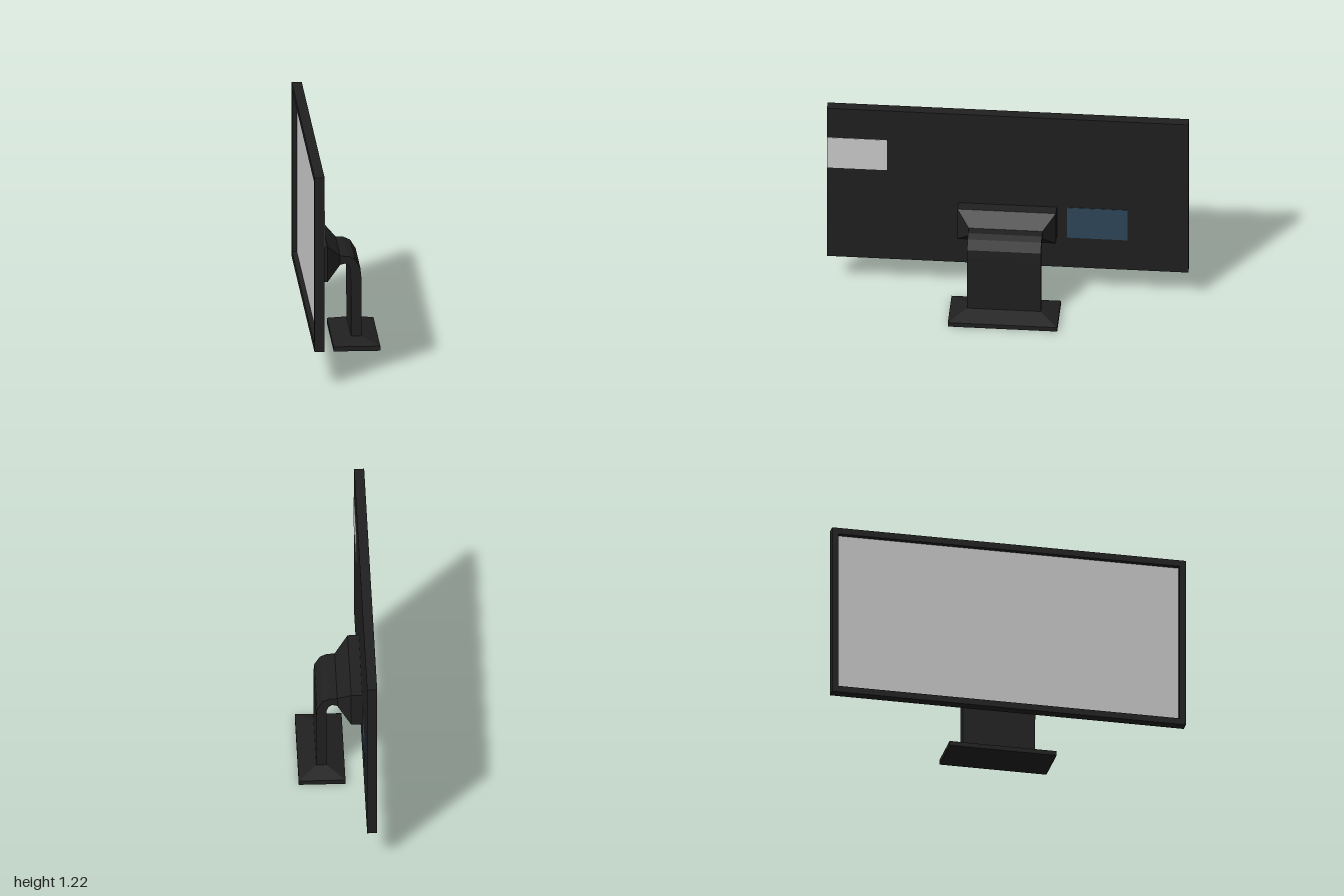
import * as THREE from 'three';

const mat = (color) => new THREE.MeshStandardMaterial({ color, flatShading: true });

function add(parent, name, geometry, material, x = 0, y = 0, z = 0) {
  const mesh = new THREE.Mesh(geometry, material);
  mesh.name = name;
  mesh.position.set(x, y, z);
  parent.add(mesh);
  return mesh;
}

// Six-sided solid running along an axis from section s0 to section s1.
// Each section is { at, box: [minP, maxP, minQ, maxQ] } on the other two axes.
function taperedBox(axis, s0, s1) {
  const geo = new THREE.BoxGeometry(1, 1, 1);
  const pos = geo.attributes.position;
  const [p, q] = [0, 1, 2].filter((i) => i !== axis);
  for (let i = 0; i < pos.count; i++) {
    const v = [pos.getX(i), pos.getY(i), pos.getZ(i)];
    const s = v[axis] < 0 ? s0 : s1;
    const out = [0, 0, 0];
    out[axis] = s.at;
    out[p] = s.box[v[p] < 0 ? 0 : 1];
    out[q] = s.box[v[q] < 0 ? 2 : 3];
    pos.setXYZ(i, ...out);
  }
  geo.computeVertexNormals();
  return geo;
}

function rectanglePath(target, w, h) {
  target.moveTo(-w / 2, -h / 2);
  target.lineTo(w / 2, -h / 2);
  target.lineTo(w / 2, h / 2);
  target.lineTo(-w / 2, h / 2);
  target.closePath();
  return target;
}

export function createModel() {
  const root = new THREE.Group();
  root.name = 'monitor';
  const black = mat(0x202020);
  const grey = mat(0xcccccc);
  const blue = mat(0x2e4659);

  // Everything is built with the screen facing -x, then turned about y
  const body = new THREE.Group();
  body.name = 'turnedMonitor';
  const turn = -Math.PI / 12;
  body.rotation.y = turn;
  body.position.set(0.02 * Math.sin(turn), 0, 0.02 * Math.cos(turn));
  root.add(body);

  // Panel: rear shell, raised bezel and recessed screen
  const W = 2.055, H = 1.025, midY = 0.7075, rim = 0.037;
  const front = -0.108, recess = -0.078, back = -0.051;
  add(body, 'rearShell', new THREE.BoxGeometry(back - recess, H, W), black, (back + recess) / 2, midY);
  const frame = rectanglePath(new THREE.Shape(), W, H);
  frame.holes.push(rectanglePath(new THREE.Path(), W - 2 * rim, H - 2 * rim));
  const bezel = new THREE.ExtrudeGeometry(frame, { depth: recess - front, bevelEnabled: false });
  bezel.rotateY(Math.PI / 2);
  add(body, 'bezel', bezel, black, front, midY);
  add(body, 'screen', new THREE.BoxGeometry(0.004, H - 2 * rim, W - 2 * rim), grey, recess, midY);

  // Flat labels on the rear shell
  const label = new THREE.BoxGeometry(0.004, 0.208, 0.342);
  add(body, 'greyLabel', label, grey, back, 0.914, 0.856);
  add(body, 'blueLabel', label, blue, back, 0.504, -0.51);

  // Mounting block narrowing towards the neck
  const block = [0.4, 0.607, -0.28, 0.28];
  const neckEnd = [0.48, 0.533, -0.21, 0.21];
  add(body, 'mountBlock', taperedBox(0, { at: back, box: block }, { at: 0.013, box: block }), black);
  add(body, 'mountTaper', taperedBox(0, { at: 0.013, box: block }, { at: 0.089, box: neckEnd }), black);

  // Flat neck bending down into the upright
  const profile = new THREE.Shape([
    [0.085, 0.533], [0.085, 0.48], [0.118, 0.488], [0.138, 0.475], [0.149, 0.45], [0.151, 0.06],
    [0.209, 0.06], [0.209, 0.41], [0.204, 0.46], [0.172, 0.513], [0.135, 0.53],
  ].map(([x, y]) => new THREE.Vector2(x, y)));
  const neck = new THREE.ExtrudeGeometry(profile, { depth: 0.42, bevelEnabled: false });
  neck.translate(0, 0, -0.21);
  add(body, 'neck', neck, black);

  // Foot: thin slab with a sloped top
  const foot = [0.046, 0.311, -0.311, 0.311];
  const footTop = [0.151, 0.209, -0.21, 0.21];
  add(body, 'footSlab', taperedBox(1, { at: 0, box: foot }, { at: 0.027, box: foot }), black);
  add(body, 'footSlope', taperedBox(1, { at: 0.027, box: foot }, { at: 0.062, box: footTop }), black);

  return root;
}
